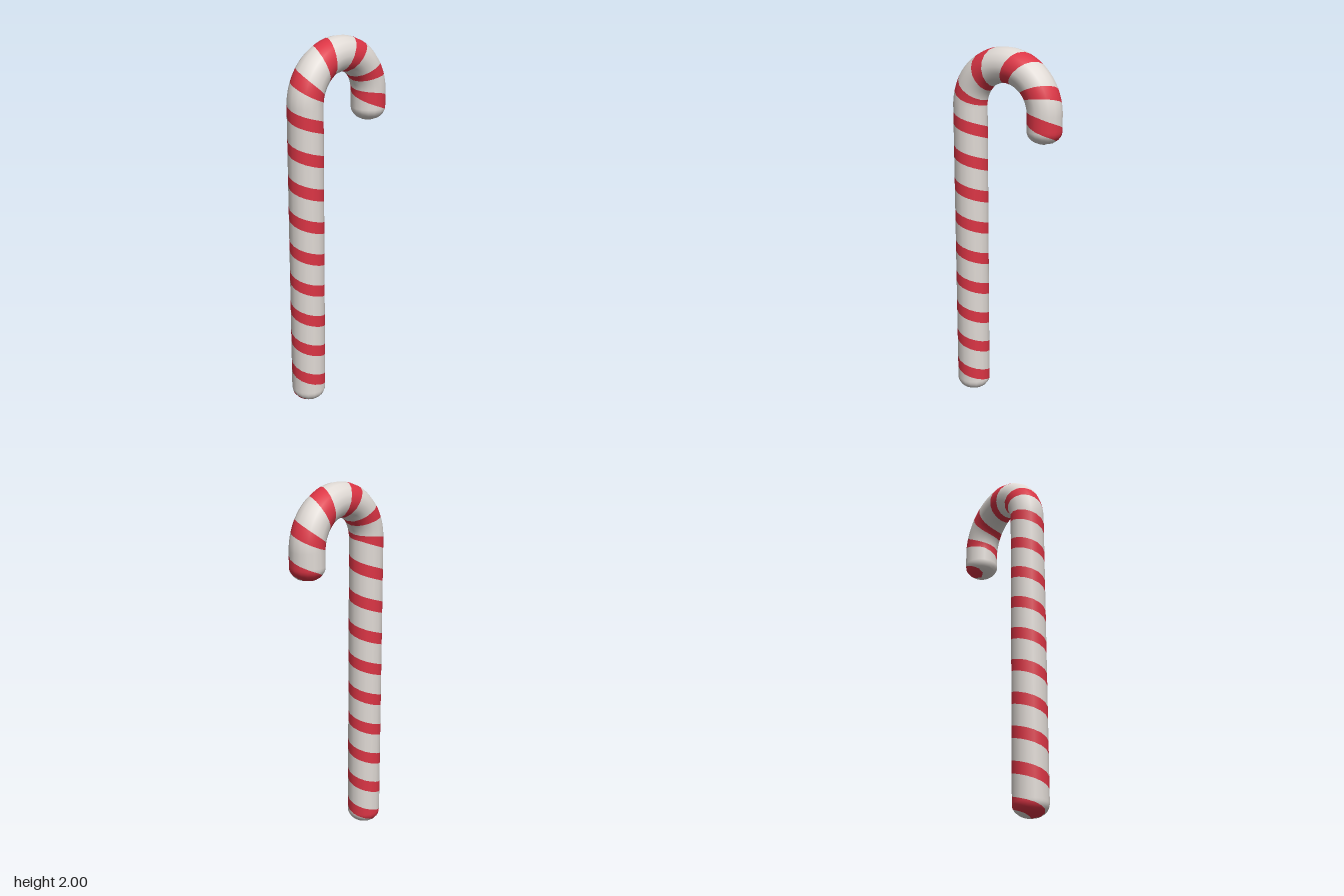
import * as THREE from 'three';

const R = 0.0925;        // cane thickness
const BEND = 0.23;       // radius of the hook
const TOP = 1.6775;      // height where the hook begins
const TIP = 1.525;       // height of the hook's lower end
const CAP = 0.07;        // length of the rounded ends
const SIDES = 16;
const PITCH = 0.18, TIP_PITCH = 0.22; // height of one stripe turn
const P0 = 0.5, P1 = 4.85;            // stripe turns at the start and end of the bend
const P_MIN = P0 - TOP / PITCH;
const P_MAX = P1 + (TOP - TIP) / TIP_PITCH;

// Centre line, angle round the hook and distance to the nearer end, by stripe turn
function spine(p) {
  if (p < P0) {
    const y = TOP + (p - P0) * PITCH;
    return { x: -BEND, y, angle: 0, end: y, sign: -1 };
  }
  if (p > P1) {
    const y = TOP - (p - P1) * TIP_PITCH;
    return { x: BEND, y, angle: Math.PI, end: y - TIP, sign: 1 };
  }
  // stripes are spaced a little wider at the crown
  let t = 0;
  for (let i = 0; i < 12; i++) {
    t -= (2.675 + 1.83 * t + 0.345 * t ** 3 - p) / (1.83 + 1.035 * t * t);
  }
  const angle = (t + 1) * Math.PI / 2;
  return { x: -BEND * Math.cos(angle), y: TOP + BEND * Math.sin(angle), angle, end: 1, sign: 0 };
}

// Surface point and normal at a stripe turn and an angle round the tube
function surface(p, phi) {
  const c = spine(p);
  const out = new THREE.Vector3(-Math.cos(c.angle), Math.sin(c.angle), 0);
  const along = new THREE.Vector3(Math.sin(c.angle), Math.cos(c.angle), 0);
  const radial = out.multiplyScalar(Math.cos(phi)).add(new THREE.Vector3(0, 0, -Math.sin(phi)));
  const k = c.sign ? THREE.MathUtils.clamp(1 - c.end / CAP, 0, 1) : 0;
  const w = Math.sqrt(1 - k * k);
  return {
    position: new THREE.Vector3(c.x, c.y, 0).addScaledVector(radial, R * w),
    normal: radial.clone().multiplyScalar(w / R).addScaledVector(along, c.sign * k / CAP).normalize(),
  };
}

// One band wound round the whole cane, between two fractions of a stripe turn
function helicalBand(from, to, rows) {
  const first = Math.floor((P_MIN - 1.5) * SIDES), last = Math.ceil((P_MAX + 1) * SIDES);
  const points = [], positions = [], normals = [], index = [];
  for (let i = first; i <= last; i++) {
    for (let j = 0; j <= rows; j++) {
      const p = 0.25 + i / SIDES + from + (to - from) * j / rows;
      const v = surface(THREE.MathUtils.clamp(p, P_MIN, P_MAX), i / SIDES * Math.PI * 2);
      points.push(v.position);
      positions.push(...v.position.toArray());
      normals.push(...v.normal.toArray());
    }
  }
  const face = (a, b, c) => {
    // leave out faces collapsed at the ends
    if (new THREE.Triangle(points[a], points[b], points[c]).getArea() > 1e-9) index.push(a, b, c);
  };
  for (let i = 0; i < last - first; i++) {
    for (let j = 0; j < rows; j++) {
      const a = i * (rows + 1) + j, b = a + rows + 1;
      face(a, a + 1, b);
      face(a + 1, b + 1, b);
    }
  }
  const geometry = new THREE.BufferGeometry();
  geometry.setAttribute('position', new THREE.Float32BufferAttribute(positions, 3));
  geometry.setAttribute('normal', new THREE.Float32BufferAttribute(normals, 3));
  geometry.setIndex(index);
  return geometry;
}

export function createModel() {
  const group = new THREE.Group();
  group.name = 'candyCane';

  const red = new THREE.MeshStandardMaterial({ color: 0xdc3545 });
  red.name = 'candyRed';
  const white = new THREE.MeshStandardMaterial({ color: 0xe0dad5 });
  white.name = 'sugarWhite';

  // Red stripe and the white sugar between its turns
  const redStripe = new THREE.Mesh(helicalBand(-0.18, 0.18, 6), red);
  redStripe.name = 'redStripe';
  const whiteStripe = new THREE.Mesh(helicalBand(0.18, 0.82, 11), white);
  whiteStripe.name = 'whiteStripe';
  group.add(redStripe, whiteStripe);

  return group;
}
